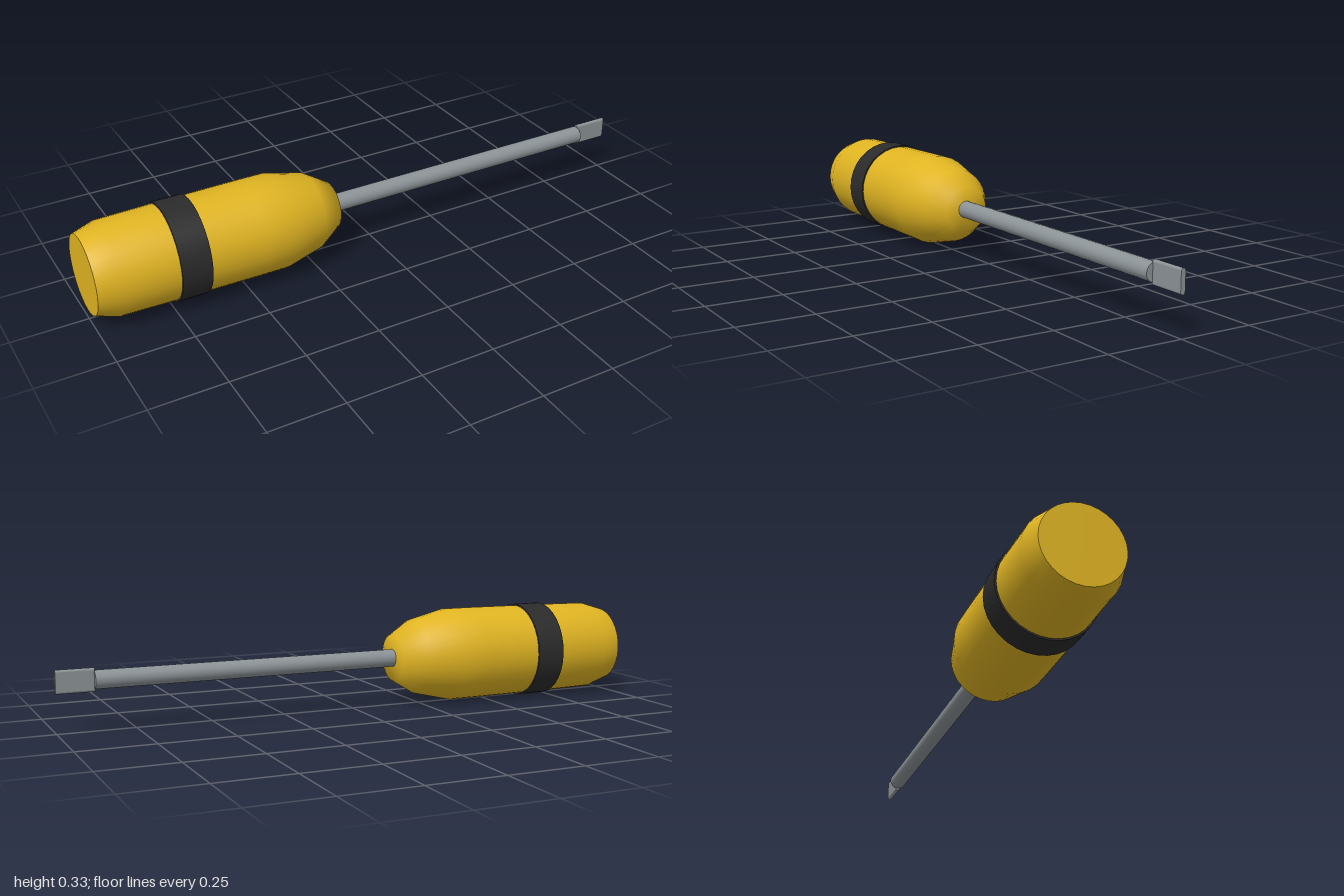
import * as THREE from 'three';

const AXIS_Y = 0.163;

export function createModel() {
  const group = new THREE.Group();
  group.name = 'screwdriver';

  const yellow = new THREE.MeshStandardMaterial({ color: 0xe0b422 });
  yellow.name = 'yellow plastic';
  const black = new THREE.MeshStandardMaterial({ color: 0x2b2b2c });
  black.name = 'black rubber';
  const steel = new THREE.MeshStandardMaterial({ color: 0x8c9397 });
  steel.name = 'steel';

  const add = (name, geometry, material) => {
    const mesh = new THREE.Mesh(geometry.translate(0, AXIS_Y, 0), material);
    mesh.name = name;
    group.add(mesh);
  };
  // Turned solid along x from [x, radius] points
  const turned = (points, segments) =>
    new THREE.LatheGeometry(points.map(([x, r]) => new THREE.Vector2(r, x)), segments).rotateZ(-Math.PI / 2);

  // Handle: gently swelling grip with a rounded nose
  add('handle', turned([
    [-1, 0.131], [-0.925, 0.154], [-0.75, 0.157], [-0.45, 0.16], [-0.36, 0.16],
    [-0.23, 0.129], [-0.15, 0.08], [-0.15, 0],
  ], 32), yellow);

  // Flat butt end
  add('handleEnd', new THREE.CircleGeometry(0.131, 32).rotateY(-Math.PI / 2).translate(-1, 0, 0), yellow);

  // Grip band around the handle
  add('gripBand', new THREE.CylinderGeometry(0.163, 0.163, 0.1, 32).rotateZ(-Math.PI / 2).translate(-0.692, 0, 0), black);

  // Shaft
  add('shaft', new THREE.CylinderGeometry(0.03, 0.03, 1.04, 24).rotateZ(-Math.PI / 2).translate(0.36, 0, 0), steel);

  // Flat blade with rounded upper and lower edges
  const r = 0.008, h = 0.038 - r;
  const section = new THREE.Shape();
  section.absarc(0, h, r, 0, Math.PI);
  section.absarc(0, -h, r, Math.PI, Math.PI * 2);
  section.closePath();
  const blade = new THREE.ExtrudeGeometry(section, { depth: 0.122, bevelEnabled: false, curveSegments: 8 });
  add('blade', blade.rotateY(Math.PI / 2).translate(0.878, 0, 0), steel);

  return group;
}
